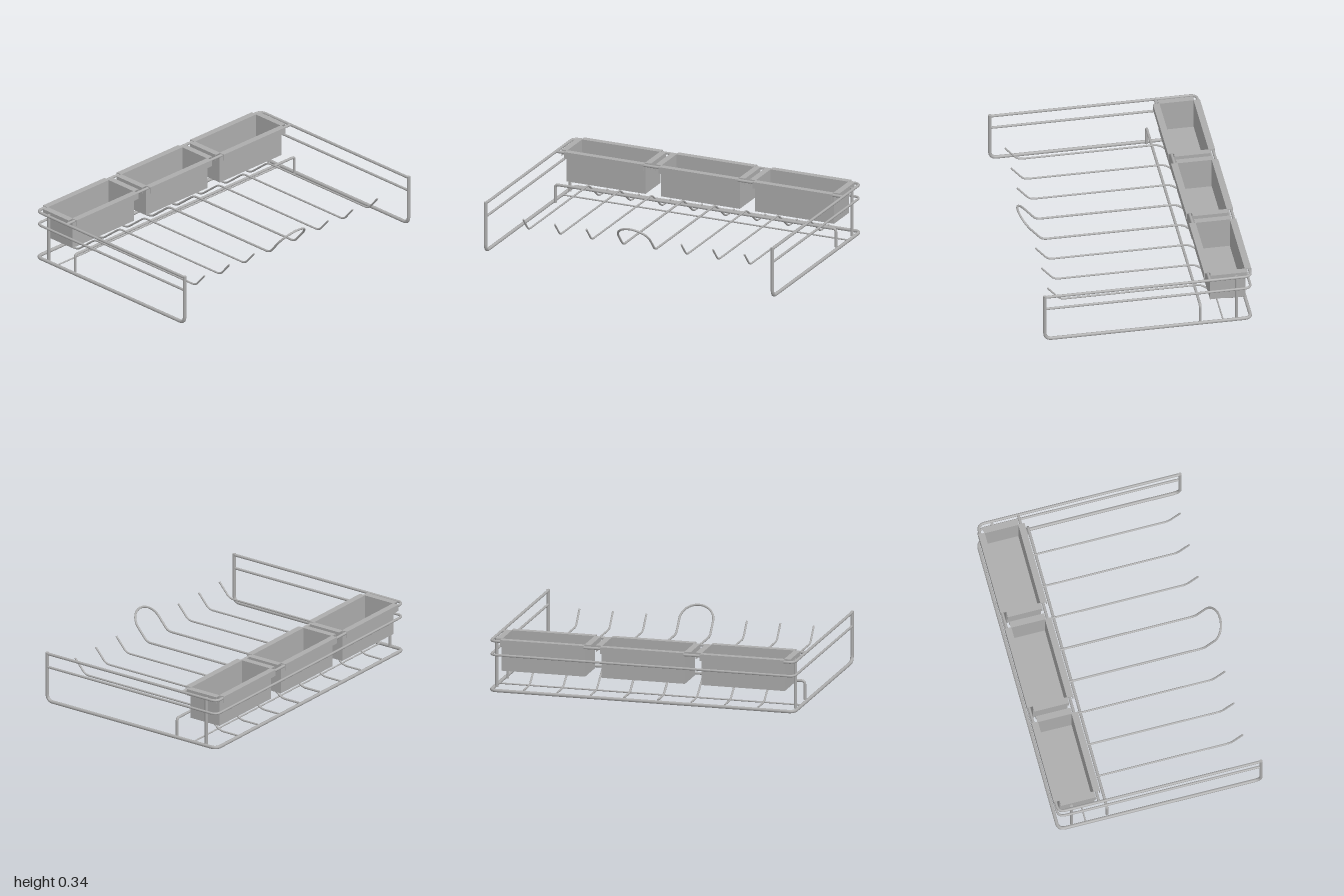
import * as THREE from 'three';

const steel = new THREE.MeshStandardMaterial({ color: 0xacacac });
steel.name = 'steel grey';

const V = (x, y, z) => new THREE.Vector3(x, y, z);

// A curve through given points, one tube ring per point
class WirePath extends THREE.Curve {
  constructor(points) { super(); this.points = points; }
  getPointAt(t, target = V()) {
    return target.copy(this.points[Math.round(t * (this.points.length - 1))]);
  }
  getTangentAt(t, target = V()) {
    const p = this.points, i = Math.round(t * (p.length - 1));
    return target.subVectors(p[Math.min(i + 1, p.length - 1)], p[Math.max(i - 1, 0)]).normalize();
  }
}

// Replace each inner corner of a polyline by a small bend
function bend(corners, radius, steps = 7) {
  const out = [corners[0]];
  for (let i = 1; i < corners.length - 1; i++) {
    const c = corners[i];
    const toward = (q) => c.clone().add(q.clone().sub(c).setLength(radius));
    const a = toward(corners[i - 1]), b = toward(corners[i + 1]);
    // short straight lead-ins keep the tube true beside the bend
    out.push(a.clone().lerp(corners[i - 1], 0.005));
    out.push(...new THREE.QuadraticBezierCurve3(a, c, b).getPoints(steps));
    out.push(b.clone().lerp(corners[i + 1], 0.005));
  }
  out.push(corners[corners.length - 1]);
  return out;
}

// Round wire with flat ends
function wire(name, points, radius) {
  const group = new THREE.Group();
  group.name = name;
  const path = new WirePath(points);
  const tube = new THREE.Mesh(new THREE.TubeGeometry(path, points.length - 1, radius, 10), steel);
  tube.name = name + 'Rod';
  group.add(tube);
  for (const end of [0, 1]) {
    const p = path.getPointAt(end), dir = path.getTangentAt(end).multiplyScalar(end ? 1 : -1);
    const cap = new THREE.Mesh(new THREE.CircleGeometry(radius, 10), steel);
    cap.name = name + 'End';
    cap.position.copy(p);
    cap.quaternion.setFromUnitVectors(V(0, 0, 1), dir);
    group.add(cap);
  }
  return group;
}

// Open tray with four hanging flanges
function tray() {
  const group = new THREE.Group();
  group.name = 'tray';
  const hx = 0.272, z0 = -0.63, z1 = -0.405, zc = (z0 + z1) / 2, dz = z1 - z0;
  const y0 = 0.137, top = 0.344, t = 0.004, h = top - y0, out = 0.037, lip = 0.042;
  const box = (name, w, hh, d, x, y, z) => {
    const m = new THREE.Mesh(new THREE.BoxGeometry(w, hh, d), steel);
    m.name = name;
    m.position.set(x, y, z);
    group.add(m);
  };
  box('trayFloor', hx * 2, t, dz, 0, y0 + t / 2, zc);
  for (const s of [-1, 1]) {
    // end walls and their flanges
    box('trayEndWall', t, h, dz, s * (hx - t / 2), y0 + h / 2, zc);
    box('trayEndFlange', out, t, dz, s * (hx + out / 2), top - t / 2, zc);
    box('trayEndLip', t, lip, dz, s * (hx + out - t / 2), top - lip / 2, zc);
    // long walls and their flanges
    const edge = zc + s * dz / 2;
    box('trayLongWall', hx * 2, h, t, 0, y0 + h / 2, edge - s * t / 2);
    box('trayLongFlange', hx * 2, t, out, 0, top - t / 2, edge + s * out / 2);
    box('trayLongLip', hx * 2, lip, t, 0, top - lip / 2, edge + s * (out - t / 2));
  }
  return group;
}

export function createModel() {
  const model = new THREE.Group();
  model.name = 'wireRack';
  const X = 0.989, F = 0.656, B = -0.655;

  // U-shaped upper rails
  for (const [name, y, r] of [['topRail', 0.331, 0.009], ['middleRail', 0.242, 0.008]]) {
    model.add(wire(name, bend([V(-X, y, F), V(-X, y, B), V(X, y, B), V(X, y, F)], 0.045), r));
  }

  // Base rail, rising into the front posts
  model.add(wire('baseFrame', bend([
    V(-X, 0.34, F), V(-X, 0.013, F), V(-X, 0.013, B),
    V(X, 0.013, B), V(X, 0.013, F), V(X, 0.34, F),
  ], 0.045), 0.011));

  // Rear posts
  for (const s of [-1, 1]) {
    model.add(wire('rearPost', [V(s * 0.972, 0.013, -0.565), V(s * 0.972, 0.331, -0.565)], 0.01));
  }

  // Rail under the front flanges of the trays, and a thin low tie bar
  model.add(wire('trayRail', [V(-X, 0.331, -0.392), V(X, 0.331, -0.392)], 0.009));
  model.add(wire('tieBar', [V(-X, 0.015, -0.477), V(X, 0.015, -0.477)], 0.005));

  // Staple-shaped support that carries the long wires
  model.add(wire('wireSupport', bend([
    V(-0.967, 0.013, -0.335), V(-0.967, 0.133, -0.335),
    V(0.967, 0.133, -0.335), V(0.967, 0.013, -0.335),
  ], 0.02), 0.009));

  // Long wires with upturned ends
  const run = (x) => [V(x, 0.028, B), V(x, 0.028, -0.525), V(x, 0.148, -0.372), V(x, 0.148, 0.52)];
  const mid = 0.007;
  for (const offset of [0.327, 0.545, 0.763]) {
    for (const s of [-1, 1]) {
      const x = mid + s * offset;
      model.add(wire('hookWire', bend([...run(x), V(x, 0.241, 0.6)], 0.03), 0.006));
    }
  }

  // Central wire pair joined by a rounded loop
  const half = 0.11, zA = 0.59, yA = 0.23;
  const side = (x) => bend([...run(x), V(x, yA, zA)], 0.03);
  const arc = [];
  for (let i = 1; i < 20; i++) {
    const a = Math.PI * i / 20, s = Math.sin(a);
    arc.push(V(mid - half * Math.cos(a), yA + 0.08 * s, zA + 0.065 * s));
  }
  model.add(wire('centreLoop', [...side(mid - half), ...arc, ...side(mid + half).reverse()], 0.007));

  // Three trays along the back
  for (const x of [-0.65, 0, 0.65]) {
    const t = tray();
    t.position.x = x;
    model.add(t);
  }
  return model;
}
